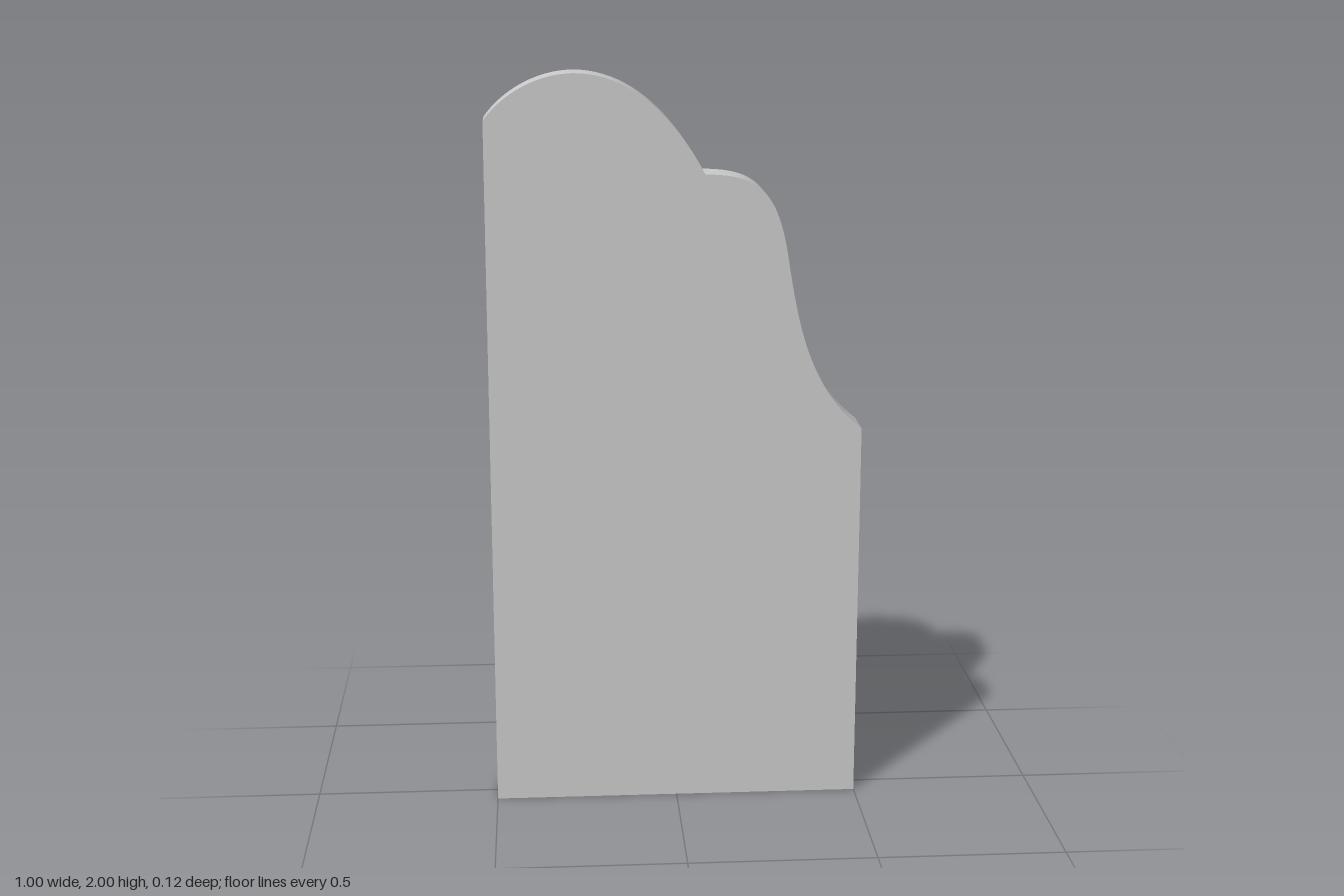
import * as THREE from 'three';
import { toCreasedNormals } from 'three/addons/utils/BufferGeometryUtils.js';

export function createModel() {
  const depth = 0.125;
  const model = new THREE.Group();
  model.name = 'shapedPanel';

  // Outline: straight sides and base, scrolled top edge
  const outline = new THREE.Shape();
  outline.moveTo(-0.5, 0);
  outline.lineTo(0.5, 0);
  outline.lineTo(0.5, 1.05);
  // S-shaped shoulder
  outline.bezierCurveTo(0.355, 1.165, 0.325, 1.335, 0.294, 1.525);
  outline.bezierCurveTo(0.265, 1.70, 0.21, 1.737, 0.075, 1.738);
  // Rounded crest
  outline.bezierCurveTo(-0.01, 1.90, -0.13, 2, -0.265, 2);
  outline.bezierCurveTo(-0.345, 2, -0.44, 1.96, -0.5, 1.88);
  outline.closePath();

  // Slab, smooth along the curves and sharp at the corners
  const slab = new THREE.ExtrudeGeometry(outline, { depth, bevelEnabled: false, curveSegments: 20 });
  slab.translate(0, 0, -depth / 2);
  const panel = new THREE.Mesh(
    toCreasedNormals(slab, Math.PI / 6),
    new THREE.MeshStandardMaterial({ color: 0xcccccc })
  );
  panel.name = 'panel';
  model.add(panel);
  return model;
}
